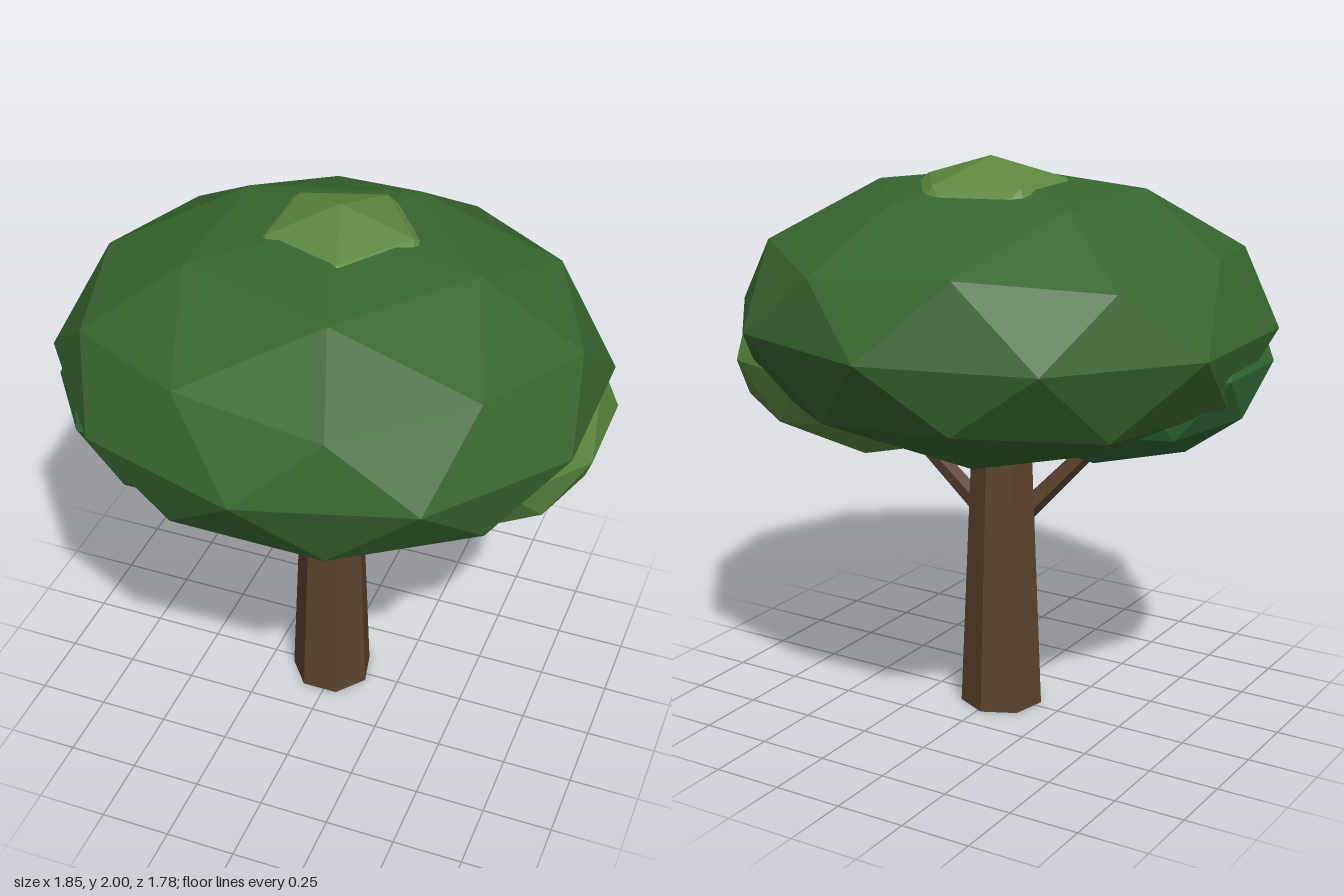
import * as THREE from 'three';

const makeMaterial = (name, color) => {
  const m = new THREE.MeshStandardMaterial({ color, flatShading: true });
  m.name = name;
  return m;
};

export function createModel() {
  const tree = new THREE.Group();
  tree.name = 'tree';

  const bark = makeMaterial('bark brown', 0x5a432e);
  const leaf = makeMaterial('leaf green', 0x38662f);
  const lightLeaf = makeMaterial('light leaf green', 0x5c873f);
  const coolLeaf = makeMaterial('cool leaf green', 0x316a37);

  const add = (name, geometry, material) => {
    const mesh = new THREE.Mesh(geometry, material);
    mesh.name = name;
    tree.add(mesh);
    return mesh;
  };

  // Foliage clump: a low-poly ball with a corner pointing straight up, then stretched
  const tilt = Math.atan(2 / (1 + Math.sqrt(5)));
  const clump = (name, material, center, radii) => {
    const g = new THREE.IcosahedronGeometry(1, 1);
    g.rotateZ(-tilt);
    g.scale(...radii);
    add(name, g, material).position.set(...center);
  };

  // Tapered limb between two points
  const limb = (name, from, to, r0, r1) => {
    const a = new THREE.Vector3(...from);
    const b = new THREE.Vector3(...to);
    const dir = b.clone().sub(a);
    const mesh = add(name, new THREE.CylinderGeometry(r1, r0, dir.length(), 5), bark);
    mesh.position.copy(a).add(b).multiplyScalar(0.5);
    mesh.quaternion.setFromUnitVectors(new THREE.Vector3(0, 1, 0), dir.normalize());
  };

  // Seven-sided trunk with one corner at the back
  const trunk = new THREE.CylinderGeometry(0.104, 0.15, 1.1, 7);
  trunk.rotateY(Math.PI);
  add('trunk', trunk, bark).position.set(-0.015, 0.55, 0);

  // Branches reaching into the side clumps
  limb('leftBranch', [0.04, 0.7, 0], [0.42, 1.15, -0.14], 0.037, 0.027);
  limb('rightBranch', [-0.07, 0.71, 0.05], [-0.45, 1.13, 0.135], 0.04, 0.027);

  // Foliage
  clump('canopy', leaf, [-0.015, 1.45, 0], [0.961, 0.5, 0.89]);
  clump('topClump', lightLeaf, [-0.01, 1.48, -0.065], [0.48, 0.52, 0.48]);
  clump('leftClump', lightLeaf, [0.4, 1.3, -0.1], [0.55, 0.37, 0.55]);
  clump('rightClump', coolLeaf, [-0.38, 1.335, 0.11], [0.56, 0.37, 0.55]);

  return tree;
}
